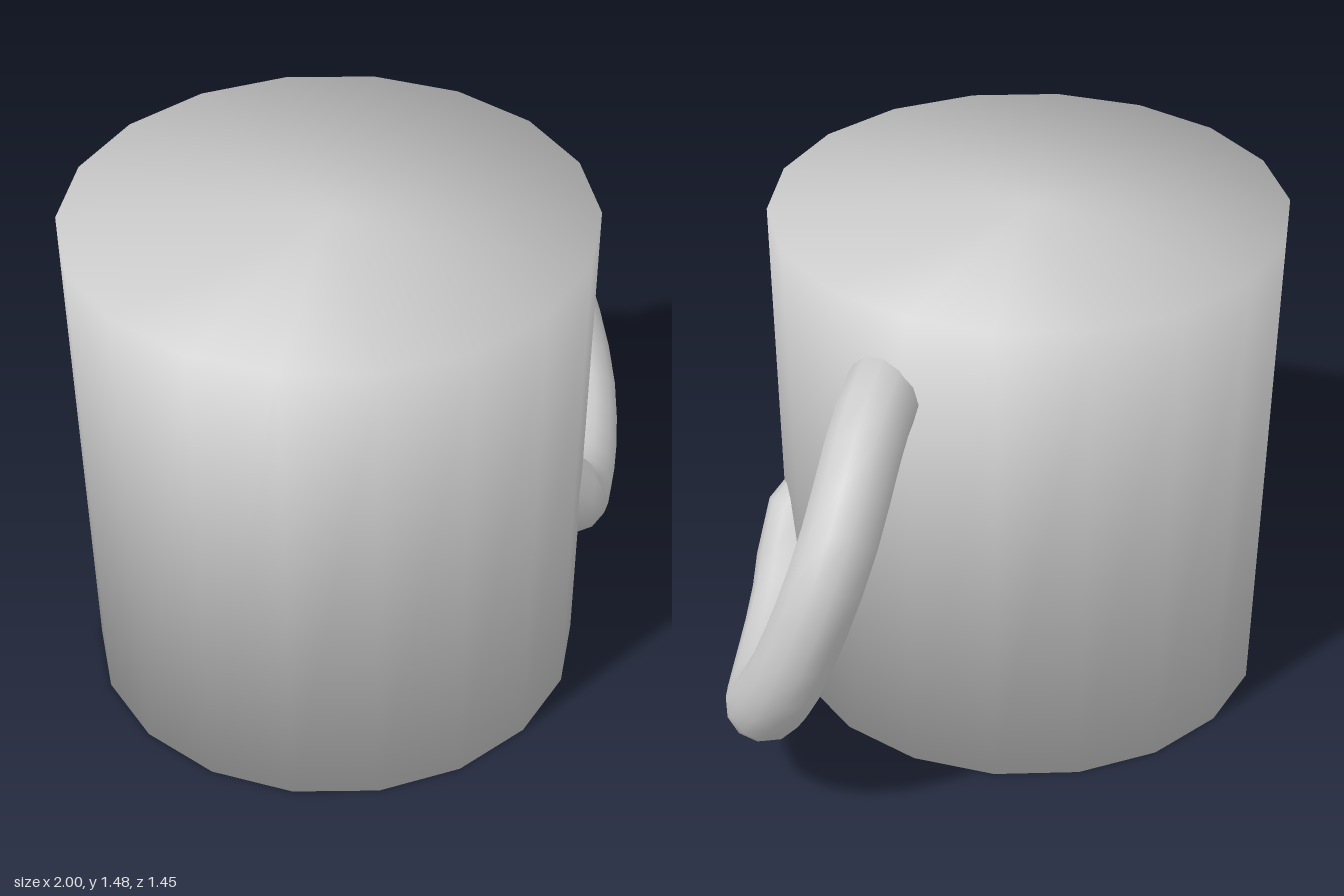
import * as THREE from 'three';

const V = (x, y, z) => new THREE.Vector3(x, y, z);

// Solid cup body: 18-sided taper, shaded smoothly across its rims
function cupGeometry(topRadius, bottomRadius, height, sides) {
  const geo = new THREE.CylinderGeometry(topRadius, bottomRadius, height, sides, 1, false, Math.PI / 2);
  const pos = geo.attributes.position;
  const n = new THREE.Vector3();
  for (let i = 0; i < pos.count; i++) {
    const up = Math.sign(pos.getY(i));
    n.set(pos.getX(i), 0, pos.getZ(i));
    if (n.length() > 0.01) n.normalize();
    n.y = 0.9 * up;
    n.normalize();
    geo.attributes.normal.setXYZ(i, n.x, n.y, n.z);
  }
  return geo.translate(0, height / 2, 0);
}

export function createModel() {
  const group = new THREE.Group();
  const ceramic = new THREE.MeshStandardMaterial({ color: 0xcccccc });
  ceramic.name = 'light grey ceramic';

  const cup = new THREE.Mesh(cupGeometry(0.735, 0.70, 1.475, 18), ceramic);
  cup.name = 'cupBody';
  cup.position.x = -0.265;
  group.add(cup);

  // Slanted handle, both ends sunk into the cup wall
  const path = new THREE.CatmullRomCurve3([
    V(0.34, 1.21, -0.11), V(0.47, 1.215, -0.2), V(0.61, 1.155, -0.295),
    V(0.75, 1.0, -0.37), V(0.835, 0.85, -0.382), V(0.89, 0.6, -0.31),
    V(0.87, 0.42, -0.19), V(0.8, 0.31, -0.07), V(0.7, 0.263, 0.04),
    V(0.62, 0.252, 0.118), V(0.49, 0.275, 0.23), V(0.37, 0.36, 0.325),
    V(0.3, 0.465, 0.385), V(0.2, 0.56, 0.37),
  ]);
  const handle = new THREE.Mesh(new THREE.TubeGeometry(path, 20, 0.107, 12, false), ceramic);
  handle.name = 'handle';
  group.add(handle);

  return group;
}
